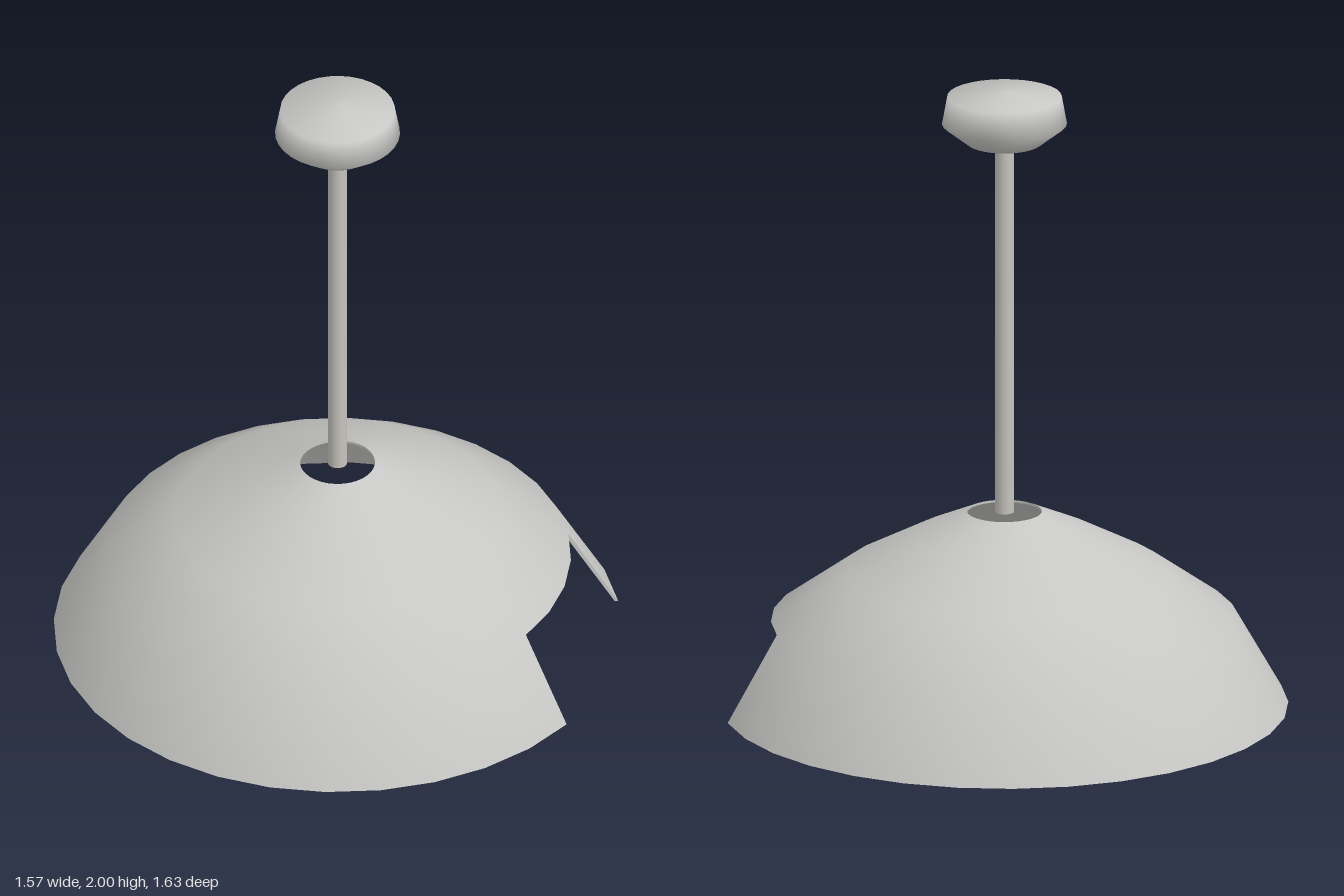
import * as THREE from 'three';

const metal = new THREE.MeshStandardMaterial({ color: 0xc6c6c4, side: THREE.DoubleSide });
metal.name = 'brushed grey';
const rodMetal = new THREE.MeshStandardMaterial({ color: 0xc6c3bd, side: THREE.DoubleSide });
rodMetal.name = 'warm grey';

const AXIS_X = 0.03;
const SEGMENTS = 32;
const WALL = 0.01;
const inGap = (i) => i >= 6 && i <= 9; // four segments centred on +x

// Revolve a profile (bottom to top); keep(segment, band) decides which quads stay
function revolve(profile, keep = () => true) {
  const geo = new THREE.LatheGeometry(profile.map(([r, y]) => new THREE.Vector2(r, y)), SEGMENTS);
  const bands = profile.length - 1;
  const old = geo.index.array;
  const kept = [];
  for (let i = 0; i < SEGMENTS; i++) {
    for (let j = 0; j < bands; j++) {
      const at = (i * bands + j) * 6;
      if (keep(i, j)) kept.push(...old.slice(at, at + 6));
    }
  }
  geo.setIndex(kept);
  return geo;
}

function add(group, name, geo, material = metal) {
  const mesh = new THREE.Mesh(geo, material);
  mesh.name = name;
  group.add(mesh);
  return mesh;
}

export function createModel() {
  const model = new THREE.Group();
  model.name = 'pendantLamp';
  const lamp = new THREE.Group();
  lamp.name = 'lamp';
  lamp.position.x = AXIS_X;
  model.add(lamp);

  // Domed shade: thin outer and inner skins, with a notch cut from the lower band
  const shade = new THREE.Group();
  shade.name = 'shade';
  lamp.add(shade);
  const outer = [[0.817, 0.15], [0.672, 0.405], [0.47, 0.55], [0.265, 0.66], [0.108, 0.732]];
  const inner = outer.map(([r, y], i) => [r - WALL, i === 0 ? y : y - WALL * 0.6]);
  inner[4] = [0.108, 0.725];
  const notch = (i, j) => !(j === 0 && inGap(i));
  add(shade, 'shadeOuter', revolve(outer, notch));
  // reversed profile turns the inner skin to face the axis
  add(shade, 'shadeInner', revolve([...inner].reverse(), (i, j) => !(j === 3 && inGap(i))));
  add(shade, 'shadeRim', revolve([inner[0], outer[0]], (i) => !inGap(i)));
  add(shade, 'notchTopEdge', revolve([inner[1], outer[1]], inGap));
  add(shade, 'shadeTopEdge', revolve([outer[4], inner[4]]));

  // Cut faces at the two sides of the notch
  for (const side of [-1, 1]) {
    const angle = side * Math.PI / 8;
    const corners = [outer[0], outer[1], inner[1], inner[0]].map(([r, y]) => new THREE.Vector2(r, y));
    const edge = add(shade, side > 0 ? 'notchFrontEdge' : 'notchBackEdge',
      new THREE.ShapeGeometry(new THREE.Shape(corners)));
    edge.rotation.y = -angle;
  }

  // Hanging rod
  const rod = add(lamp, 'rod', new THREE.CylinderGeometry(0.028, 0.028, 1.266, 16), rodMetal);
  rod.position.y = 0.73 + 1.266 / 2;

  // Ceiling canopy
  add(lamp, 'canopy', revolve([
    [0, 1.825], [0.05, 1.828], [0.108, 1.843], [0.18, 1.9], [0.165, 1.982], [0, 2],
  ]));

  // Small knob floating beneath the shade
  add(lamp, 'lowerKnob', revolve([
    [0, 0.005], [0.025, 0.009], [0.063, 0.035], [0.071, 0.073], [0, 0.09],
  ]));

  return model;
}
